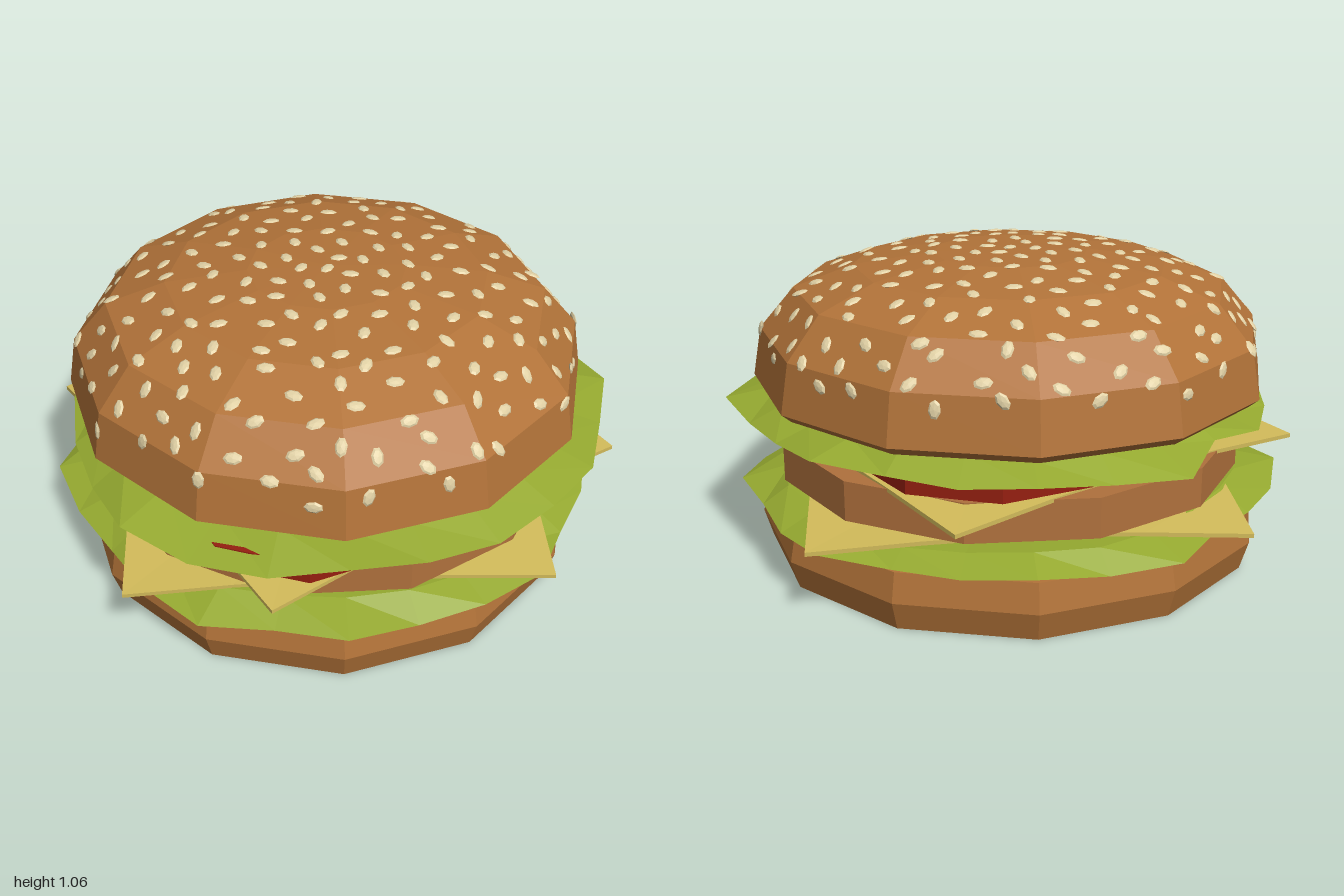
import * as THREE from 'three';

const mat = (name, color, side = THREE.FrontSide) =>
  Object.assign(new THREE.MeshStandardMaterial({ color, side, flatShading: true }), { name });

const SIDES = 12;
const STEP = (Math.PI * 2) / SIDES;

// Small seeded generator for natural variation
function seeded(seed) {
  return () => {
    seed = (seed * 16807) % 2147483647;
    return seed / 2147483647;
  };
}

function flat(geometry) {
  const g = geometry.index ? geometry.toNonIndexed() : geometry;
  g.computeVertexNormals();
  return g;
}

function lathe(profile, sides = SIDES) {
  return flat(new THREE.LatheGeometry(profile.map(([r, y]) => new THREE.Vector2(r, y)), sides));
}

// Square slice whose corners sag
function cheeseGeometry(size, droop) {
  const g = new THREE.BoxGeometry(size, 0.014, size, 4, 1, 4);
  const p = g.attributes.position;
  for (let i = 0; i < p.count; i++) {
    const x = p.getX(i), z = p.getZ(i);
    const sag = Math.max(0, Math.abs(x) + Math.abs(z) - 0.85) / 0.58;
    p.setY(i, p.getY(i) - droop * sag);
  }
  return flat(g);
}

// Ruffled leaf: three rings around a centre, with an uneven rim
function lettuceGeometry(radii, y, seed) {
  const rand = seeded(seed);
  const n = radii.length;
  const rings = [[], [], []];
  radii.forEach((r, i) => {
    const a = (i / n) * Math.PI * 2;
    const at = (radius, h) => [Math.sin(a) * radius, h, Math.cos(a) * radius];
    rings[0].push(at(0.5, y));
    rings[1].push(at(0.78 + 0.04 * rand(), y - 0.018 + 0.034 * rand()));
    rings[2].push(at(r, y - (i % 3 === 0 ? 0.025 : 0.045) - 0.022 * rand()));
  });
  const pos = [];
  for (let i = 0; i < n; i++) {
    const j = (i + 1) % n;
    pos.push(0, y, 0, ...rings[0][i], ...rings[0][j]);
    for (let k = 0; k < 2; k++) {
      const [a, b, c, d] = [rings[k][i], rings[k + 1][i], rings[k + 1][j], rings[k][j]];
      pos.push(...a, ...b, ...c, ...a, ...c, ...d);
    }
  }
  const g = new THREE.BufferGeometry();
  g.setAttribute('position', new THREE.Float32BufferAttribute(pos, 3));
  return flat(g);
}

export function createModel() {
  const group = new THREE.Group();
  group.name = 'burger';
  const bun = mat('bun brown', 0xb27339);
  const pattyMat = mat('patty brown', 0xb0713d);
  const cheese = mat('cheese yellow', 0xd2bb5a);
  const lettuce = mat('lettuce green', 0x95a930, THREE.DoubleSide);
  const tomato = mat('tomato red', 0x951f10);
  const seed = mat('seed cream', 0xe0d0a4);

  const add = (name, geometry, material, x = 0, y = 0, z = 0, turn = 0) => {
    const m = new THREE.Mesh(geometry, material);
    m.name = name;
    m.position.set(x, y, z);
    m.rotation.y = turn;
    group.add(m);
    return m;
  };

  // Buns
  const crown = [[0.905, 0.62], [0.875, 0.79], [0.755, 0.93], [0.55, 1.005], [0.27, 1.043], [0, 1.05]];
  add('bottomBun', lathe([[0, 0], [0.87, 0], [0.9, 0.1], [0.88, 0.2], [0, 0.205]]), bun, -0.01);
  add('topBun', lathe([[0, 0.59], [0.87, 0.59], ...crown]), bun, -0.01);

  // Lettuce leaves
  const upperRim = [0.95, 0.95, 0.96, 0.96, 0.98, 0.96, 1.0, 0.93, 0.92, 0.96, 0.9, 0.91,
    0.93, 0.92, 0.97, 0.86, 0.92, 0.91, 0.91, 0.92, 0.94, 1.0, 0.99, 0.97];
  const lowerRim = [0.94, 0.9, 0.92, 0.95, 0.9, 0.93, 0.96, 0.9, 0.92, 0.95, 0.88, 0.9,
    0.93, 0.9, 0.95, 0.88, 0.9, 0.95, 1.0, 0.94, 0.9, 0.94, 0.96, 0.9];
  add('lowerLettuce', lettuceGeometry(lowerRim, 0.268, 71), lettuce);
  add('upperLettuce', lettuceGeometry(upperRim, 0.575, 23), lettuce);

  // Cheese slices
  add('lowerCheese', cheeseGeometry(1.43, 0.035), cheese, -0.01, 0.285, 0);
  add('upperCheese', cheeseGeometry(1.43, 0.035), cheese, 0.005, 0.447, 0, 0.54);

  // Patty
  add('patty', lathe([[0, 0.3], [0.82, 0.3], [0.82, 0.437], [0, 0.437]]), pattyMat, 0, 0, 0, STEP / 2);

  // Tomato slices in a pinwheel
  [[-0.12, 0.46], [0.36, 0.07], [0.1, -0.42], [-0.31, -0.07]].forEach(([x, z], i) => {
    const slice = flat(new THREE.CylinderGeometry(0.45, 0.45, 0.076, 9));
    add('tomatoSlice', slice, tomato, x, 0.496 + 0.002 * i, z, i * Math.PI / 2);
  });

  // Sesame seeds lying on the faceted crown
  const rand = seeded(4711);
  const path = crown.slice().reverse();
  const lengths = path.slice(1).map(([r, y], i) => Math.hypot(r - path[i][0], y - path[i][1]));
  const count = 215, golden = Math.PI * (3 - Math.sqrt(5));
  const seedGeometry = flat(new THREE.SphereGeometry(1, 7, 4));
  const seeds = new THREE.Group();
  seeds.name = 'sesameSeeds';
  seeds.position.x = -0.01;
  for (let i = 0; i < count; i++) {
    let s = 1.02 * Math.pow((i + 0.5) / count, 0.56) + (rand() - 0.5) * 0.035;
    s = Math.max(0.01, s);
    let k = 0;
    while (k < lengths.length - 1 && s > lengths[k]) s -= lengths[k++];
    const t = Math.min(1, s / lengths[k]);
    const [r0, y0] = path[k], [r1, y1] = path[k + 1];
    const angle = i * golden + (rand() - 0.5) * 0.1;
    const mid = (Math.floor(angle / STEP) + 0.5) * STEP;
    const apothem = Math.cos(STEP / 2);
    const r = ((r0 + (r1 - r0) * t) * apothem) / Math.cos(angle - mid);
    const rise = y0 - y1, run = (r1 - r0) * apothem;
    const normal = new THREE.Vector3(Math.sin(mid) * rise, run, Math.cos(mid) * rise).normalize();
    const m = new THREE.Mesh(seedGeometry, seed);
    m.name = 'seed';
    m.position.set(Math.sin(angle) * r, y0 + (y1 - y0) * t, Math.cos(angle) * r);
    m.quaternion.setFromUnitVectors(new THREE.Vector3(0, 1, 0), normal);
    m.rotateY(rand() * Math.PI * 2);
    m.scale.set(0.031, 0.007, 0.02);
    seeds.add(m);
  }
  group.add(seeds);
  return group;
}
